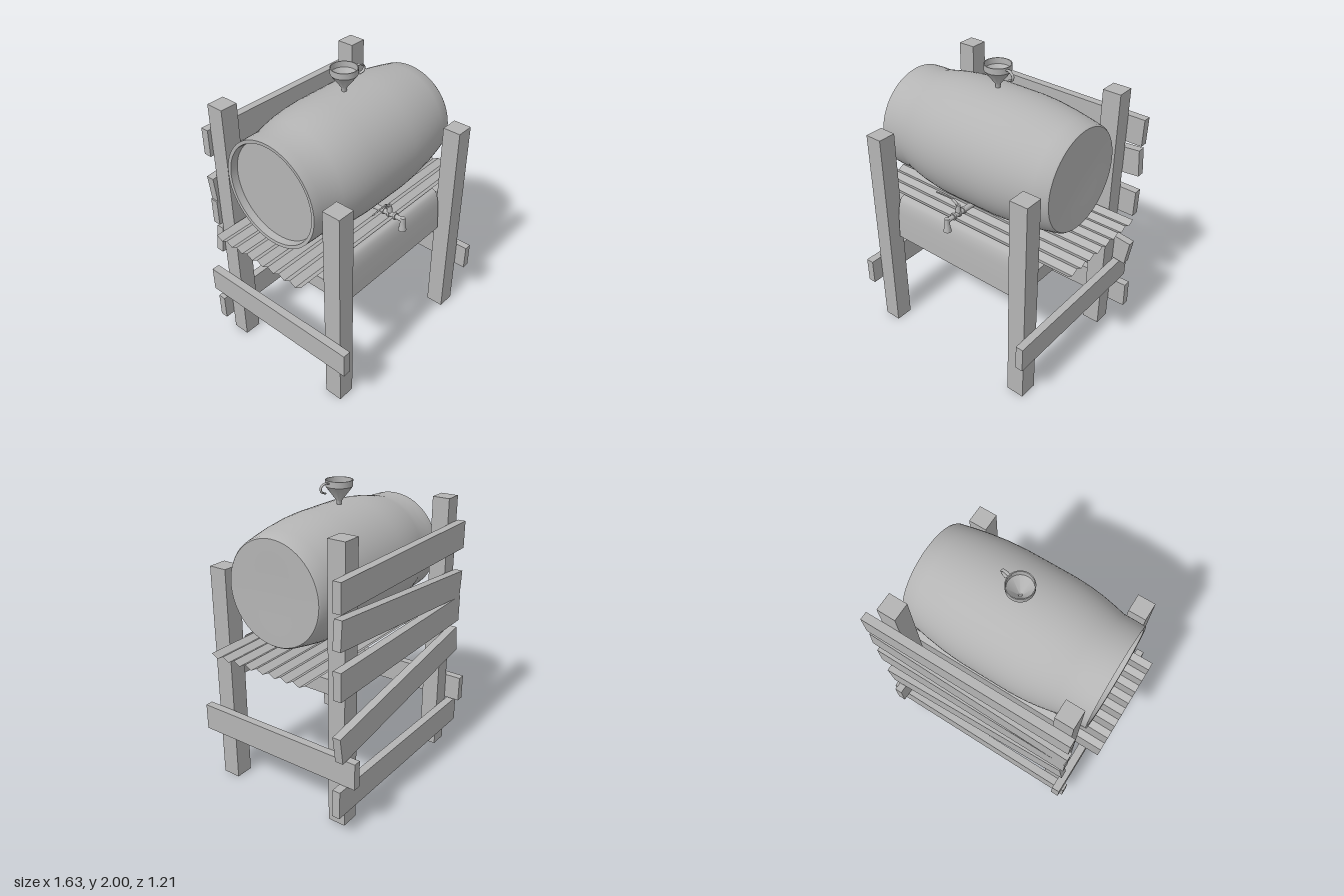
import * as THREE from 'three';
import { toCreasedNormals } from 'three/addons/utils/BufferGeometryUtils.js';

const grey = new THREE.MeshStandardMaterial({ color: 0xb4b4b4, side: THREE.DoubleSide });
grey.name = 'plain grey';

export function createModel() {
  const model = new THREE.Group();
  model.name = 'barrelStand';

  const add = (name, geometry, parent = model) => {
    const mesh = new THREE.Mesh(geometry, grey);
    mesh.name = name;
    parent.add(mesh);
    return mesh;
  };
  // Box given by its extents on each axis
  const box = (name, x0, x1, y0, y1, z0, z1) => {
    const g = new THREE.BoxGeometry(x1 - x0, y1 - y0, z1 - z0);
    return add(name, g.translate((x0 + x1) / 2, (y0 + y1) / 2, (z0 + z1) / 2));
  };
  const lathe = (points, segments) => toCreasedNormals(
    new THREE.LatheGeometry(points.map(([r, y]) => new THREE.Vector2(r, y)), segments), 0.6);
  const tube = (points, radius, segments = 16) => new THREE.TubeGeometry(
    new THREE.CatmullRomCurve3(points.map((p) => new THREE.Vector3(...p))), segments, radius, 10);

  // Frame: posts, cross beams and side rails on both ends
  for (const [side, x0, x1] of [['right', -0.66, -0.54], ['left', 0.495, 0.62]]) {
    box(side + 'FrontPost', x0, x1, 0, 1.51, 0.4, 0.525);
    box(side + 'BackPost', x0, x1, 0, 1.845, -0.495, -0.375);
    box(side + 'CrossBeam', x0 + 0.01, x1 - 0.01, 0.89, 0.99, -0.375, 0.4);
  }
  box('rightSideRail', -0.715, -0.66, 0.345, 0.525, -0.605, 0.605);
  box('leftSideRail', 0.62, 0.672, 0.345, 0.525, -0.605, 0.605);

  // Crooked back boards, each as four corners
  const boards = [
    [[-0.73, 0.14], [0.75, 0.16], [0.745, 0.345], [-0.73, 0.32]],
    [[-0.69, 0.732], [0.715, 0.53], [0.742, 0.71], [-0.663, 0.915]],
    [[-0.685, 0.96], [0.735, 0.95], [0.737, 1.135], [-0.685, 1.145]],
    [[-0.675, 1.14], [0.74, 1.262], [0.725, 1.445], [-0.692, 1.325]],
    [[-0.685, 1.49], [0.735, 1.48], [0.737, 1.665], [-0.685, 1.675]],
  ];
  const backBoards = new THREE.Group();
  backBoards.name = 'backBoards';
  model.add(backBoards);
  for (const corners of boards) {
    const shape = new THREE.Shape(corners.map(([x, y]) => new THREE.Vector2(x, y)));
    const g = new THREE.ExtrudeGeometry(shape, { depth: 0.055, bevelEnabled: false });
    add('backBoard', g.translate(0, 0, -0.55), backBoards);
  }

  // Barrel lying along x: recessed lid at one end, flush lid at the other
  const barrel = lathe([
    [0, -0.635], [0.325, -0.635], [0.33, -0.683], [0.352, -0.685], [0.355, -0.62],
    [0.355, -0.535], [0.372, -0.46], [0.389, -0.37], [0.4, -0.28], [0.406, -0.18],
    [0.406, 0], [0.405, 0.18], [0.397, 0.3], [0.38, 0.43], [0.362, 0.53],
    [0.343, 0.62], [0.334, 0.632], [0.17, 0.63], [0, 0.622],
  ], 64);
  add('barrel', barrel.rotateZ(-Math.PI / 2).translate(0, 1.44, 0.01));

  // Corrugated sheet: a flat strip folded into a zigzag
  const folds = 16;
  const sheet = new THREE.PlaneGeometry(1.63, 0.725, 1, folds).rotateX(-Math.PI / 2);
  const pos = sheet.attributes.position;
  for (let i = 0; i < pos.count; i++) {
    const row = Math.floor(i / 2);
    pos.setY(i, row % 2 === 0 ? 1.03 : 1.005);
  }
  const folded = sheet.toNonIndexed();
  folded.computeVertexNormals();
  add('corrugatedSheet', folded.translate(-0.005, 0, 0.005));

  // Curved apron hanging over the front edge
  const apronCurve = new THREE.CatmullRomCurve3([
    [0.37, 1.035], [0.4, 1.02], [0.422, 0.97], [0.435, 0.86], [0.442, 0.725],
  ].map(([z, y]) => new THREE.Vector3(0, y, z)));
  const rows = 16;
  const apron = new THREE.PlaneGeometry(1, 1, 1, rows);
  const ap = apron.attributes.position;
  for (let i = 0; i < ap.count; i++) {
    const p = apronCurve.getPoint(Math.floor(i / 2) / rows);
    ap.setXYZ(i, ap.getX(i) - 0.03, p.y, p.z);
  }
  apron.computeVertexNormals();
  add('frontApron', apron);

  // Funnel with a loop handle
  const funnel = new THREE.Group();
  funnel.name = 'funnel';
  funnel.position.set(-0.015, 0, 0);
  model.add(funnel);
  add('funnelBowl', lathe([
    [0.013, 1.83], [0.018, 1.87], [0.075, 1.945], [0.086, 1.96], [0.087, 2], [0.081, 2],
    [0.08, 1.962], [0.012, 1.873], [0.009, 1.83],
  ], 32), funnel);
  const handle = add('funnelHandle', tube([
    [0.08, 1.985, 0], [0.115, 1.988, 0], [0.145, 1.968, 0], [0.14, 1.94, 0], [0.11, 1.928, 0],
  ], 0.006, 20), funnel);
  handle.scale.z = 1.7;
  handle.rotation.y = -0.25;

  // Tap: pipe, collars, valve, lever and flared spout
  const tap = new THREE.Group();
  tap.name = 'tap';
  tap.position.x = -0.022;
  model.add(tap);
  add('tapPipe', new THREE.CylinderGeometry(0.015, 0.02, 0.24, 16)
    .rotateX(Math.PI / 2).translate(0, 1.115, 0.37), tap);
  for (const z of [0.34, 0.385, 0.43]) {
    add('tapCollar', new THREE.CylinderGeometry(0.024, 0.024, 0.014, 16)
      .rotateX(Math.PI / 2).translate(0, 1.115, z), tap);
  }
  add('tapSpout', lathe([
    [0, 1.135], [0.016, 1.132], [0.017, 1.1], [0.019, 1.07], [0.026, 1.045], [0.026, 1.038],
    [0.018, 1.038], [0.012, 1.09], [0, 1.09],
  ], 20).translate(0, 0, 0.49), tap);
  add('tapValve', new THREE.CylinderGeometry(0.014, 0.02, 0.08, 16).translate(0, 1.14, 0.385), tap);
  add('tapStem', tube([[0, 1.16, 0.385], [-0.015, 1.185, 0.385], [-0.045, 1.203, 0.385]], 0.009), tap);
  add('tapLever', tube([[-0.04, 1.203, 0.385], [-0.1, 1.205, 0.387], [-0.18, 1.204, 0.39]], 0.005), tap);

  return model;
}
